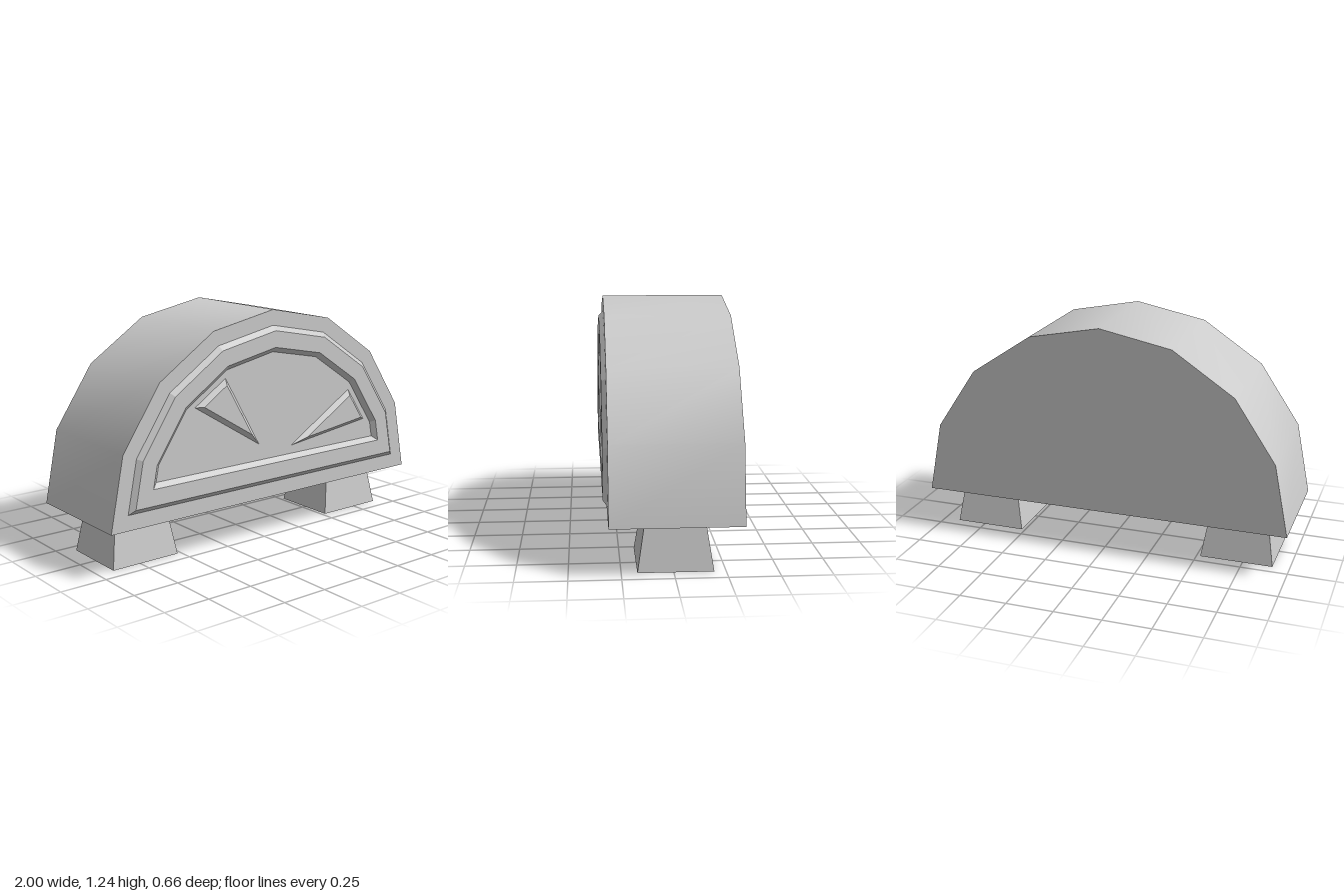
import * as THREE from 'three';
import { toCreasedNormals } from 'three/addons/utils/BufferGeometryUtils.js';

const BASE_Y = 0.243, BACK = -0.33, FRONT = 0.31, RAISED = 0.333, BEVEL = 0.025;
const material = new THREE.MeshStandardMaterial({ color: 0xcccccc });
const flat = new THREE.MeshStandardMaterial({ color: 0xcccccc, flatShading: true });

// Counter-clockwise outline moved inward by d with mitred corners
function inset(points, d) {
  const n = points.length;
  return points.map((p, i) => {
    const a = p.clone().sub(points[(i + n - 1) % n]).normalize();
    const b = points[(i + 1) % n].clone().sub(p).normalize();
    const na = new THREE.Vector2(-a.y, a.x), nb = new THREE.Vector2(-b.y, b.x);
    return p.clone().addScaledVector(na.clone().add(nb), d / (1 + na.dot(nb)));
  });
}

// Strips joining successive [outline, z] loops, with an optional cap on the last one
function loft(loops, cap) {
  const pos = [];
  const put = ([pts, z], i) => pos.push(pts[i].x, pts[i].y, z);
  for (let k = 0; k < loops.length - 1; k++) {
    const A = loops[k], B = loops[k + 1], n = A[0].length;
    for (let i = 0; i < n; i++) {
      const j = (i + 1) % n;
      put(A, i); put(A, j); put(B, j);
      put(A, i); put(B, j); put(B, i);
    }
  }
  if (cap) {
    const last = loops[loops.length - 1];
    for (let i = 1; i < last[0].length - 1; i++) { put(last, 0); put(last, i); put(last, i + 1); }
  }
  const g = new THREE.BufferGeometry();
  g.setAttribute('position', new THREE.Float32BufferAttribute(pos, 3));
  g.computeVertexNormals();
  return g;
}

export function createModel() {
  const group = new THREE.Group();
  const add = (name, geometry, mat = flat) => {
    const mesh = new THREE.Mesh(geometry, mat);
    mesh.name = name;
    group.add(mesh);
    return mesh;
  };

  // Half-round body, smooth around its arch
  const arch = Array.from({ length: 9 }, (_, i) => {
    const a = i * Math.PI / 8;
    return new THREE.Vector2(Math.cos(a), BASE_Y + Math.sin(a));
  });
  const body = new THREE.ExtrudeGeometry(new THREE.Shape(arch), { depth: FRONT - BACK, bevelEnabled: false });
  body.translate(0, 0, BACK);
  add('body', toCreasedNormals(body, 0.6), material);

  // Raised frame with a bevel on both rims
  add('frontFrame', loft([
    [inset(arch, 0.08), FRONT],
    [inset(arch, 0.08 + BEVEL), RAISED],
    [inset(arch, 0.19), RAISED],
    [inset(arch, 0.19 + BEVEL), FRONT],
  ]));

  // Raised triangular wedges on the front panel
  const wedges = {
    rightWedge: [[-0.5, 0.797], [-0.09, 0.545], [-0.31, 0.922]],
    leftWedge: [[0.13, 0.502], [0.668, 0.57], [0.545, 0.754]],
  };
  for (const [name, corners] of Object.entries(wedges)) {
    const outline = corners.map(([x, y]) => new THREE.Vector2(x, y));
    add(name, loft([[outline, FRONT], [inset(outline, BEVEL * 0.9), RAISED]], true));
  }

  // Two feet, wider at the floor
  for (const side of [-1, 1]) {
    const foot = new THREE.BoxGeometry(1, BASE_Y, 1);
    const p = foot.attributes.position;
    for (let i = 0; i < p.count; i++) {
      const top = p.getY(i) > 0;
      p.setX(i, p.getX(i) * (top ? 0.31 : 0.39));
      p.setZ(i, p.getZ(i) * (top ? 0.29 : 0.366));
    }
    foot.computeVertexNormals();
    add(side > 0 ? 'leftFoot' : 'rightFoot', foot).position.set(side * 0.715, BASE_Y / 2, -0.01);
  }
  return group;
}
